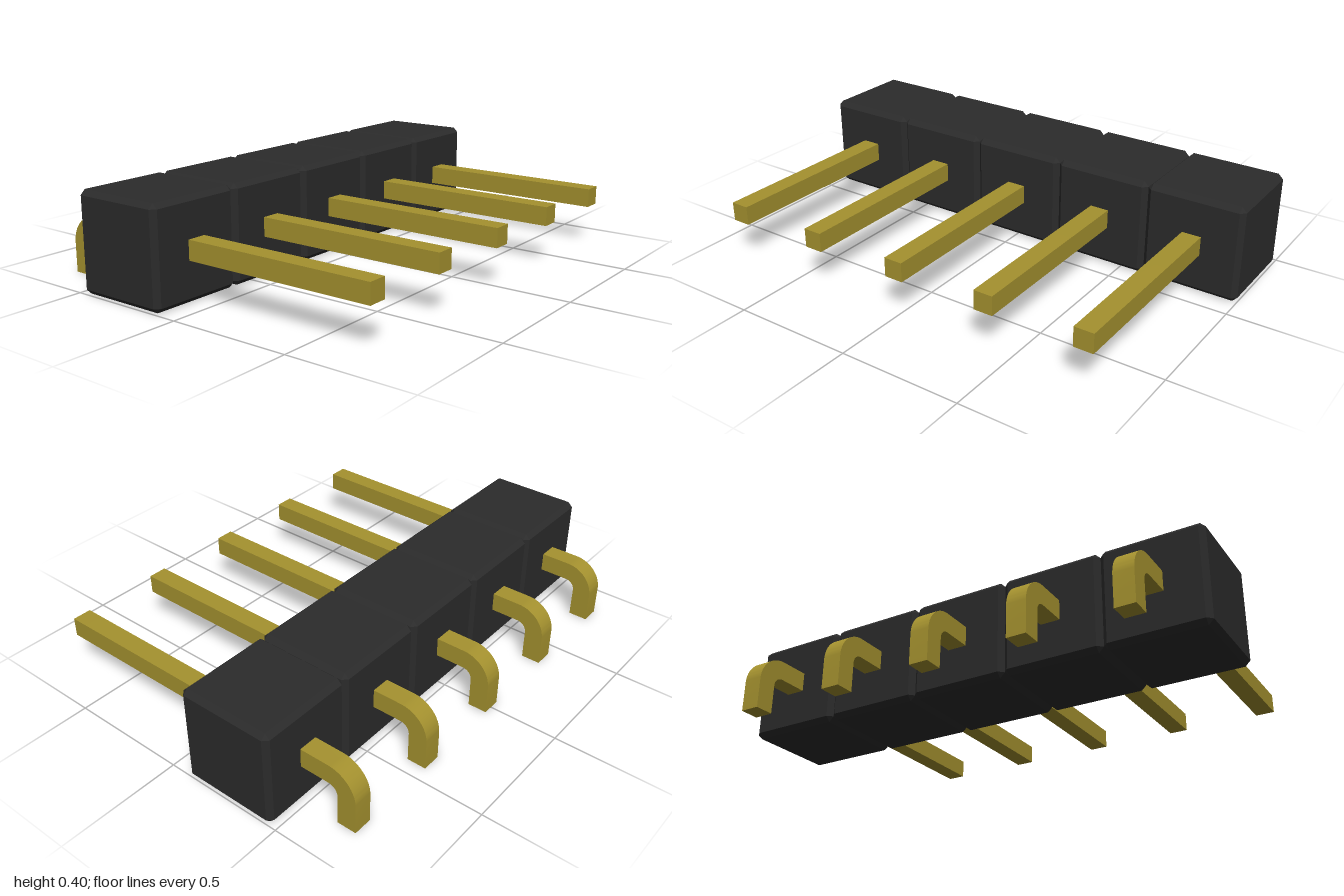
import * as THREE from 'three';
import { toCreasedNormals } from 'three/addons/utils/BufferGeometryUtils.js';
import { ConvexGeometry } from 'three/addons/geometries/ConvexGeometry.js';

const PITCH = 0.4, COUNT = 5, PIN = 0.078;

// Box with every edge cut by a flat chamfer
function chamferedBox(w, h, d, c) {
  const points = [];
  for (const sx of [-1, 1]) for (const sy of [-1, 1]) for (const sz of [-1, 1]) {
    const x = sx * w / 2, y = sy * h / 2, z = sz * d / 2;
    points.push(
      new THREE.Vector3(x, y - sy * c, z - sz * c),
      new THREE.Vector3(x - sx * c, y, z - sz * c),
      new THREE.Vector3(x - sx * c, y - sy * c, z));
  }
  return new ConvexGeometry(points);
}

// Side outline of the bent pin, extruded to a square section
function bentPin() {
  const left = -0.718, right = 0.715, top = 0.24, outer = 0.118;
  const cx = left + outer, cy = top - outer;
  const s = new THREE.Shape();
  s.moveTo(left, 0);
  s.lineTo(left + PIN, 0);
  s.lineTo(left + PIN, cy);
  s.absarc(cx, cy, outer - PIN, Math.PI, Math.PI / 2, true);
  s.lineTo(right, top - PIN);
  s.lineTo(right, top);
  s.lineTo(cx, top);
  s.absarc(cx, cy, outer, Math.PI / 2, Math.PI, false);
  s.lineTo(left, 0);
  const g = new THREE.ExtrudeGeometry(s, { depth: PIN, bevelEnabled: false, curveSegments: 12 });
  g.translate(0, 0, -PIN / 2);
  return toCreasedNormals(g, 0.6);
}

export function createModel() {
  const model = new THREE.Group();
  model.name = 'pinHeader';
  const plastic = new THREE.MeshStandardMaterial({ color: 0x2b2b2b });
  const gold = new THREE.MeshStandardMaterial({ color: 0xa5922f });
  const blockGeometry = chamferedBox(0.398, 0.398, PITCH, 0.02);
  const pinGeometry = bentPin();

  for (let i = 0; i < COUNT; i++) {
    const z = (i - (COUNT - 1) / 2) * PITCH;

    // Plastic housing segment
    const block = new THREE.Mesh(blockGeometry, plastic);
    block.name = 'housing' + (i + 1);
    block.position.set(-0.28, 0.199, z);

    // Right-angle pin through the housing
    const pin = new THREE.Mesh(pinGeometry, gold);
    pin.name = 'pin' + (i + 1);
    pin.position.z = z;

    model.add(block, pin);
  }
  return model;
}
